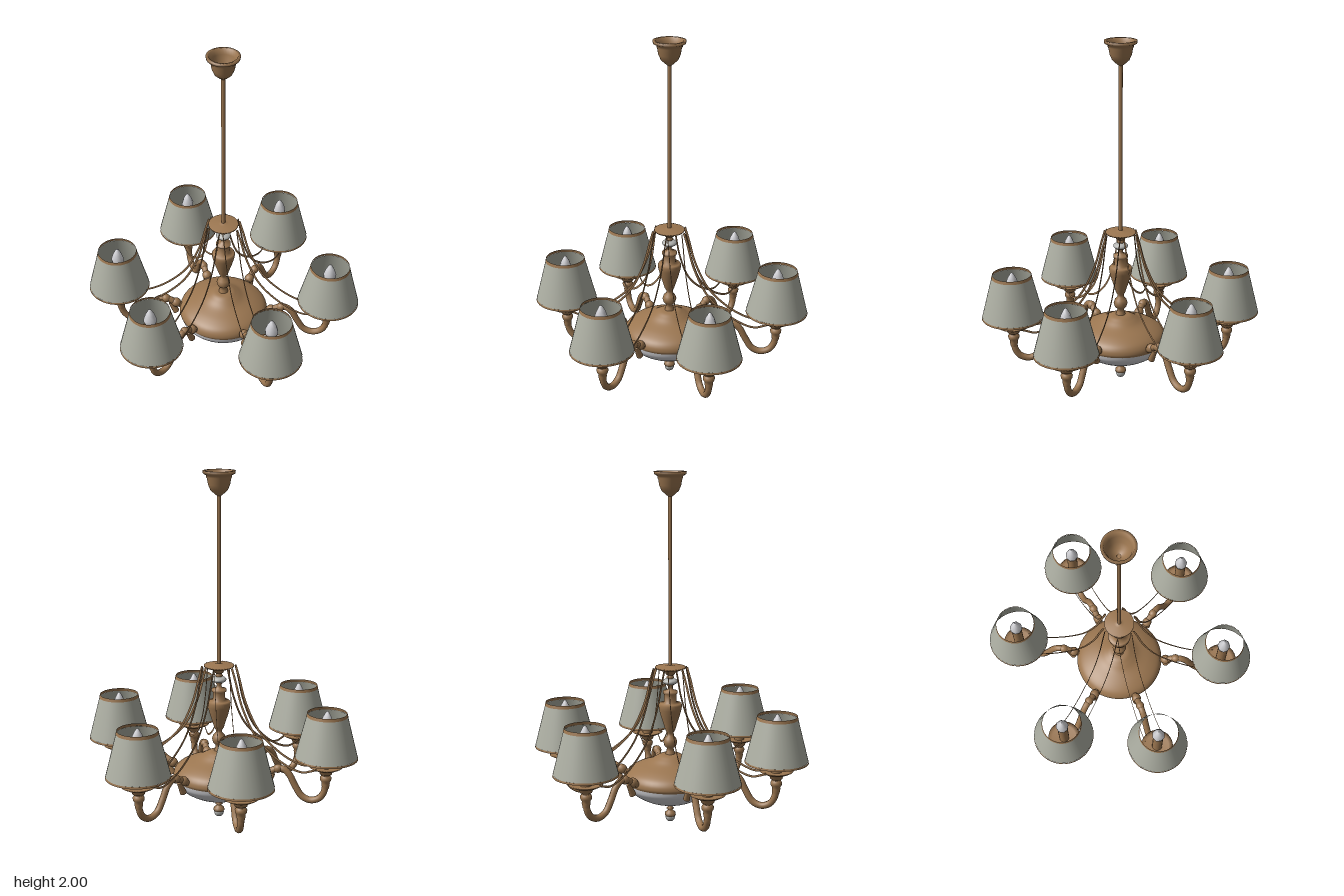
import * as THREE from 'three';

const mat = (name, color, side = THREE.FrontSide) => {
  const m = new THREE.MeshStandardMaterial({ color, side });
  m.name = name;
  return m;
};

export function createModel() {
  const bronze = mat('bronze', 0x9b7650, THREE.DoubleSide);
  const fabric = mat('shade fabric', 0xacaea2, THREE.DoubleSide);
  const glass = mat('frosted glass', 0xcfcfd3, THREE.DoubleSide);
  const crystal = mat('crystal', 0xb4b5b2);

  const add = (parent, name, geometry, material) => {
    const mesh = new THREE.Mesh(geometry, material);
    mesh.name = name;
    parent.add(mesh);
    return mesh;
  };
  // Profiles are [radius, height] pairs, listed from bottom to top
  const lathe = (pts, seg = 32) =>
    new THREE.LatheGeometry(pts.map(([r, y]) => new THREE.Vector2(r, y)), seg);
  // Rounded profile through the same kind of pairs
  const smooth = (pts, seg = 32, n = 40) =>
    new THREE.LatheGeometry(new THREE.SplineCurve(pts.map(([r, y]) => new THREE.Vector2(r, y)))
      .getPoints(n).map(p => new THREE.Vector2(Math.max(p.x, 0), p.y)), seg);
  const curve = pts => new THREE.CatmullRomCurve3(pts.map(([x, y]) => new THREE.Vector3(x, y, 0)));

  const model = new THREE.Group();
  model.name = 'chandelier';
  const body = new THREE.Group();
  body.name = 'body';
  body.position.z = -0.012;
  model.add(body);

  // Ceiling canopy (open at the top) and hanging rod
  add(body, 'canopy', lathe([[0.012, 1.865], [0.025, 1.875], [0.047, 1.895], [0.06, 1.925],
    [0.066, 1.96], [0.07, 1.965], [0.07, 1.975], [0.088, 1.985], [0.09, 2], [0.075, 2], [0.065, 1.97],
    [0.055, 1.925], [0.035, 1.89], [0.011, 1.88]]), bronze);
  const rod = add(body, 'rod', new THREE.CylinderGeometry(0.011, 0.011, 1.02, 16), bronze);
  rod.position.y = 1.37;

  // Crown plate that the strands hang from
  add(body, 'crown', lathe([[0.012, 0.865], [0.025, 0.872], [0.03, 0.885], [0.055, 0.895],
    [0.085, 0.907], [0.085, 0.915], [0.03, 0.918], [0.011, 0.925]]), bronze);
  const bead = add(body, 'crystalBead', new THREE.SphereGeometry(0.042, 24, 12), crystal);
  bead.scale.y = 0.45;
  bead.position.y = 0.83;

  // Turned column
  add(body, 'column', lathe([[0.03, 0.4], [0.022, 0.425], [0.018, 0.44], [0.033, 0.455], [0.04, 0.478],
    [0.033, 0.5], [0.018, 0.515], [0.018, 0.53], [0.027, 0.545], [0.036, 0.575], [0.052, 0.625],
    [0.064, 0.67], [0.067, 0.695], [0.06, 0.705], [0.036, 0.71], [0.034, 0.755], [0.042, 0.762],
    [0.042, 0.775], [0.015, 0.783], [0.012, 0.80], [0.02, 0.81], [0.012, 0.82], [0.012, 0.845],
    [0.022, 0.853], [0.012, 0.87]]), bronze);

  // Dome, glass bowl and bottom finial
  add(body, 'dome', smooth([[0.256, 0.25], [0.262, 0.265], [0.256, 0.29], [0.235, 0.315], [0.19, 0.34],
    [0.125, 0.365], [0.085, 0.388], [0.05, 0.405], [0, 0.408]], 48), bronze);
  add(body, 'glassBowl', smooth([[0, 0.118], [0.07, 0.122], [0.14, 0.142], [0.205, 0.178], [0.245, 0.217],
    [0.256, 0.252]], 48), glass);
  add(body, 'finial', lathe([[0, 0.03], [0.015, 0.025], [0.032, 0.04], [0.03, 0.055], [0.016, 0.066],
    [0.012, 0.073], [0.022, 0.08], [0.012, 0.088], [0.012, 0.1], [0.032, 0.112], [0.04, 0.122]], 24), bronze);
  add(body, 'finialTip', smooth([[0, 0], [0.017, 0.006], [0.026, 0.02], [0.026, 0.035], [0, 0.045]], 16, 12), crystal);

  // Geometries shared by all six arms; x points outwards from the column
  const R = 0.62;
  const armGeo = new THREE.TubeGeometry(curve([[0.245, 0.275], [0.29, 0.3], [0.335, 0.325], [0.375, 0.328],
    [0.41, 0.3], [0.445, 0.235], [0.485, 0.175], [0.535, 0.155], [0.585, 0.172], [0.613, 0.215],
    [R, 0.275]]), 60, 0.019, 10);
  const strandGeo = new THREE.TubeGeometry(curve([[0.085, 0.91], [0.105, 0.84], [0.145, 0.69], [0.225, 0.525],
    [0.34, 0.41], [0.44, 0.352], [0.5, 0.338], [0.55, 0.352], [0.575, 0.36]]), 40, 0.007, 6);
  const holderGeo = lathe([[0.019, 0.235], [0.024, 0.262], [0.022, 0.27], [0.031, 0.285], [0.033, 0.298],
    [0.026, 0.31], [0.021, 0.314], [0.034, 0.322], [0.038, 0.335], [0.045, 0.343], [0.07, 0.353],
    [0.094, 0.366], [0.07, 0.361], [0, 0.358]], 28);
  const candleGeo = new THREE.CylinderGeometry(0.03, 0.03, 0.23, 20);
  const bulbGeo = lathe([[0.022, 0.58], [0.036, 0.6], [0.037, 0.62], [0.026, 0.655], [0.01, 0.685], [0, 0.693]], 8);
  const shadeGeo = lathe([[0.175, 0.428], [0.1146, 0.664]], 40);
  const topBandGeo = lathe([[0.1156, 0.664], [0.111, 0.682]], 40);
  const bottomBandGeo = lathe([[0.1778, 0.417], [0.1755, 0.428]], 40);
  const knobGeo = new THREE.SphereGeometry(0.028, 14, 10);
  const stubGeo = new THREE.CylinderGeometry(0.013, 0.02, 0.075, 10);

  const lamps = [[0.62, -0.058], [0.31, -0.543], [-0.36, -0.508], [-0.62, -0.013], [-0.27, 0.557], [0.31, 0.532]];
  for (const [x, z] of lamps) {
    const unit = new THREE.Group();
    unit.name = 'lampArm';
    unit.rotation.y = Math.atan2(-z, x);
    body.add(unit);

    add(unit, 'arm', armGeo, bronze);
    // Turned knobs near the dome
    for (const [kx, ky, s] of [[0.285, 0.298, 1], [0.345, 0.328, 0.9]]) {
      const knob = add(unit, 'armKnob', knobGeo, bronze);
      knob.position.set(kx, ky, 0);
      knob.rotation.z = 0.5;
      knob.scale.set(1.1 * s, s, s);
    }
    const stub = add(unit, 'armStub', stubGeo, bronze);
    stub.position.set(0.302, 0.262, 0);
    stub.rotation.z = -0.45;

    // Paired flat strands from crown to holder
    for (const side of [-1, 1]) {
      const strand = add(unit, 'strand', strandGeo, bronze);
      strand.position.z = side * 0.04;
      strand.rotation.y = -side * 0.03;
      strand.scale.z = 0.2;
    }

    // Lamp on the arm's end
    const lamp = new THREE.Group();
    lamp.name = 'lamp';
    lamp.position.x = R;
    unit.add(lamp);
    add(lamp, 'holder', holderGeo, bronze);
    add(lamp, 'candle', candleGeo, bronze).position.y = 0.47;
    add(lamp, 'bulb', bulbGeo, glass);
    add(lamp, 'shade', shadeGeo, fabric);
    add(lamp, 'shadeTopBand', topBandGeo, bronze);
    add(lamp, 'shadeBottomBand', bottomBandGeo, bronze);
  }
  return model;
}
